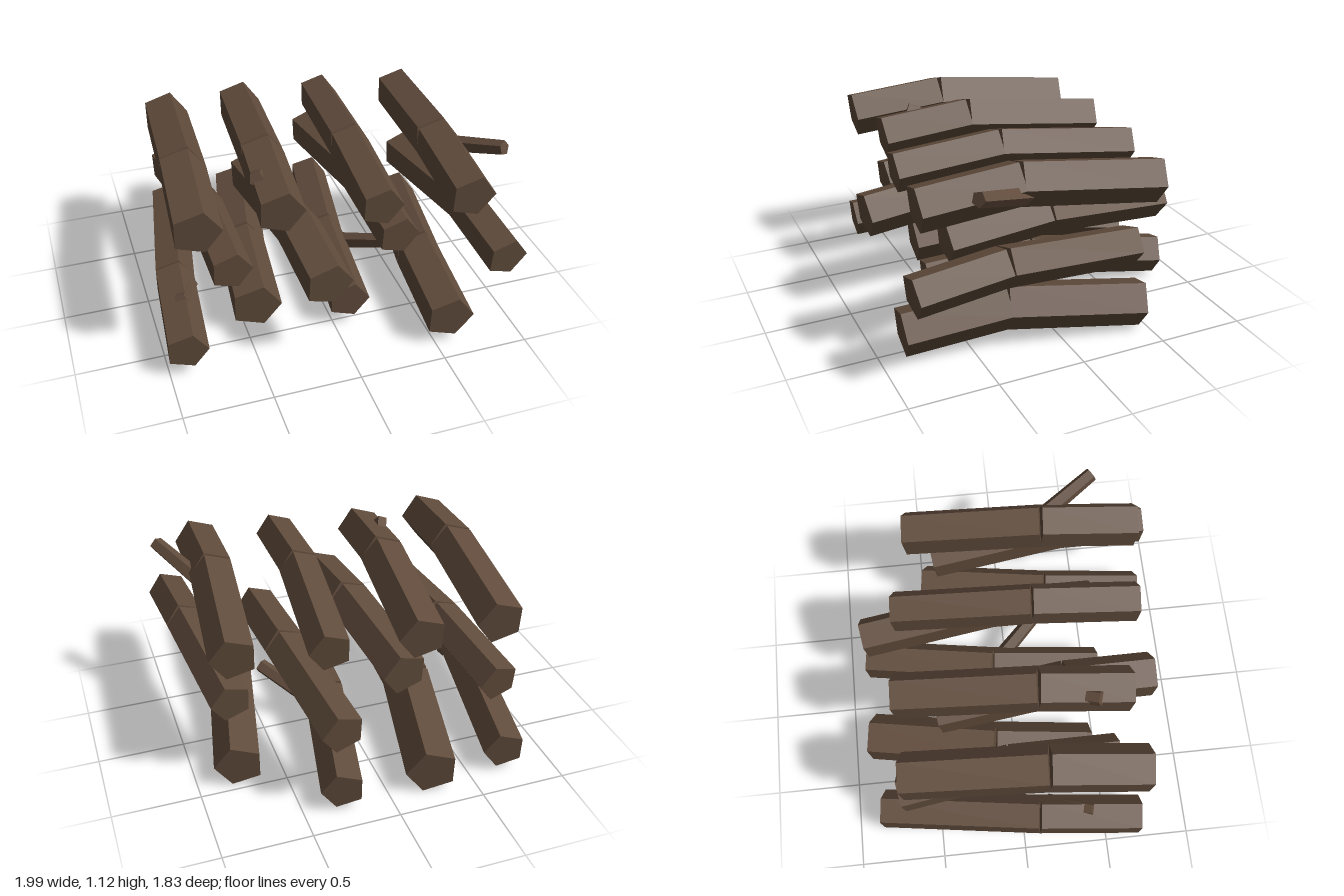
import * as THREE from 'three';

const bark = new THREE.MeshStandardMaterial({ color: 0x614c3c });
bark.name = 'bark brown';
bark.flatShading = true;

// five-sided prism between two points, one ridge facing +x
function prism(name, back, front, rBack, rFront) {
  const a = new THREE.Vector3(...back), b = new THREE.Vector3(...front);
  const geo = new THREE.CylinderGeometry(rFront, rBack, a.distanceTo(b), 5, 1, false, Math.PI / 2);
  geo.rotateX(Math.PI / 2);
  const mesh = new THREE.Mesh(geo, bark);
  mesh.name = name;
  mesh.position.copy(a).add(b).multiplyScalar(0.5);
  mesh.lookAt(b);
  return mesh;
}

// each layer: heights of front end, bend and back end;
// each log: radius, then x and z of front end, bend and back end
const layers = [
  { name: 'bottomLog', y: [0.19, 0.235, 0.155], logs: [
    [0.122, -0.90, 0.70, -0.85, 0.10, -0.70, -0.84],
    [0.150, -0.444, 0.45, -0.39, -0.12, -0.235, -0.88],
    [0.124, 0.08, 0.56, 0.13, -0.085, 0.285, -0.87],
    [0.142, 0.572, 0.88, 0.615, 0.29, 0.768, -0.48],
  ] },
  { name: 'middleLog', y: [0.57, 0.618, 0.535], logs: [
    [0.121, -0.603, 0.57, -0.62, -0.055, -0.70, -0.70],
    [0.138, -0.138, 0.84, -0.158, 0.32, -0.235, -0.45],
    [0.124, 0.38, 0.545, 0.365, -0.07, 0.28, -0.86],
    [0.120, 0.87, 0.91, 0.85, 0.40, 0.77, -0.40],
  ] },
  { name: 'topLog', y: [0.947, 0.998, 0.908], logs: [
    [0.138, -0.80, 0.685, -0.76, 0.14, -0.70, -0.66],
    [0.134, -0.34, 0.645, -0.307, 0.13, -0.235, -0.67],
    [0.120, 0.18, 0.755, 0.203, 0.15, 0.275, -0.64],
    [0.132, 0.673, 0.81, 0.694, 0.255, 0.772, -0.54],
  ] },
];

// broken branch stubs: root, then tip
const branches = [
  [[0.75, 0.94, 0.235], [0.955, 1.07, 0.585]],
  [[-0.32, 0.96, 0.22], [-0.42, 1.06, 0.46]],
  [[0.19, 0.17, -0.05], [0.445, 0.31, 0.24]],
  [[-0.77, 0.21, 0.15], [-0.865, 0.31, 0.42]],
];

export function createModel() {
  const group = new THREE.Group();
  group.name = 'logPile';

  // bent logs, each two straight halves meeting with a notch on top
  for (const { name, y, logs } of layers) {
    logs.forEach(([r, fx, fz, jx, jz, bx, bz], i) => {
      const log = new THREE.Group();
      log.name = name + (i + 1);
      const bend = [jx, y[1], jz];
      log.add(prism('frontHalf', bend, [fx, y[0], fz], r, r));
      log.add(prism('backHalf', [bx, y[2], bz], bend, r, r));
      group.add(log);
    });
  }

  branches.forEach(([root, tip], i) => {
    group.add(prism('branch' + (i + 1), root, tip, 0.052, 0.043));
  });
  return group;
}
